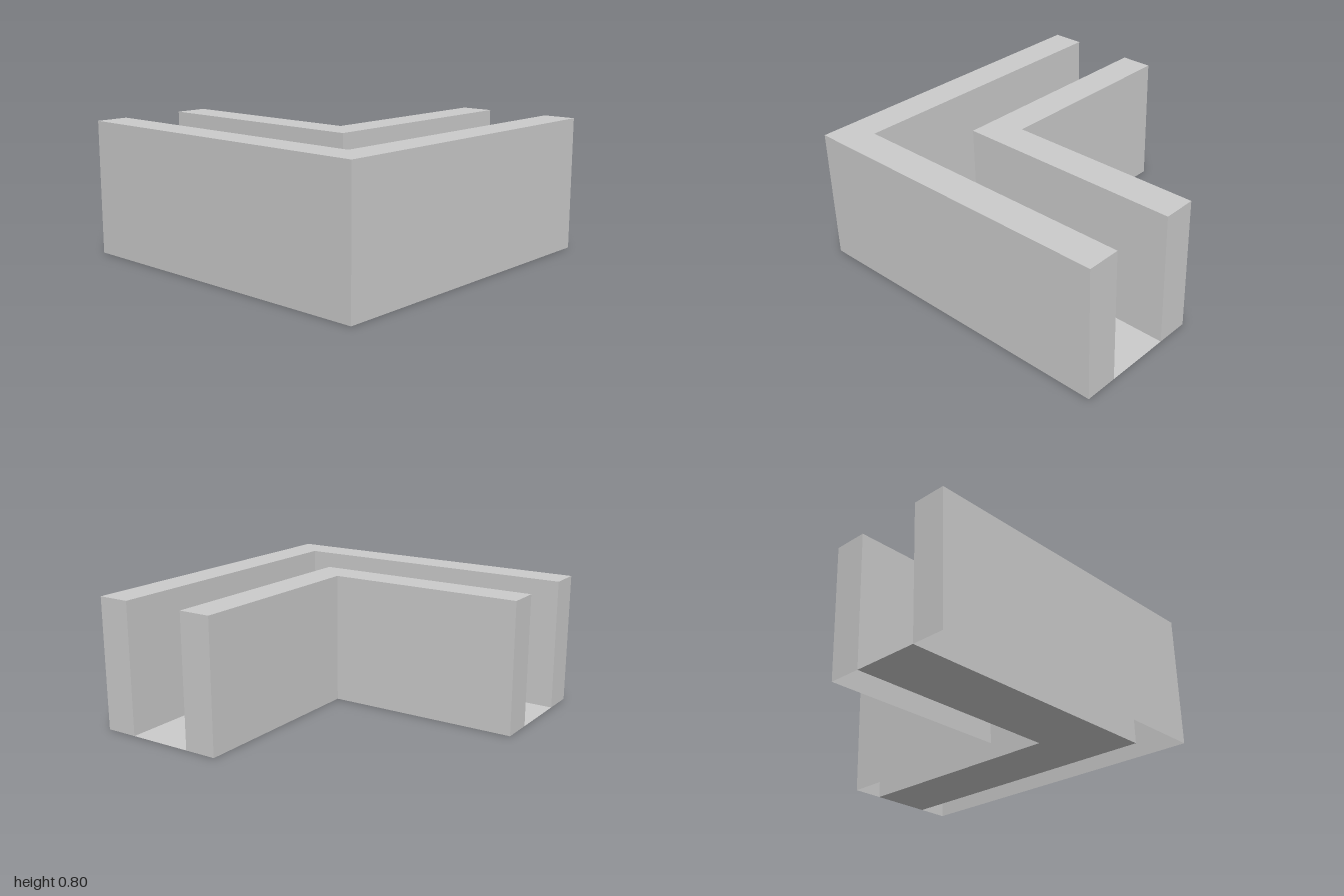
import * as THREE from 'three';

const HEIGHT = 0.8;
const material = new THREE.MeshStandardMaterial({ color: 0xcccccc, flatShading: true, side: THREE.DoubleSide });

// L-shaped plan between two corner offsets; shape y is -z
function cornerShape(outer, inner) {
  return new THREE.Shape([
    [-outer, -outer], [1, -outer], [1, -inner], [-inner, -inner], [-inner, 1], [-outer, 1],
  ].map(([x, y]) => new THREE.Vector2(x, y)));
}

// Hollow wall: sides and top, open underneath
function wallGeometry(outer, inner) {
  const solid = new THREE.ExtrudeGeometry(cornerShape(outer, inner), { depth: HEIGHT, bevelEnabled: false });
  const p = solid.attributes.position;
  const kept = [];
  for (let i = 0; i < p.count; i += 3) {
    if (p.getZ(i) + p.getZ(i + 1) + p.getZ(i + 2) < 1e-6) continue; // skip the bottom cap
    for (let k = i; k < i + 3; k++) kept.push(p.getX(k), p.getY(k), p.getZ(k));
  }
  const geometry = new THREE.BufferGeometry();
  geometry.setAttribute('position', new THREE.Float32BufferAttribute(kept, 3));
  geometry.computeVertexNormals();
  return geometry;
}

export function createModel() {
  const group = new THREE.Group();
  group.name = 'cornerChannel';

  const add = (name, geometry) => {
    geometry.rotateX(-Math.PI / 2);
    const mesh = new THREE.Mesh(geometry, material);
    mesh.name = name;
    group.add(mesh);
  };

  add('outerWall', wallGeometry(1, 0.8));
  add('innerWall', wallGeometry(0.4, 0.2));
  // Thin floor sheet between the walls
  add('channelFloor', new THREE.ShapeGeometry(cornerShape(0.8, 0.4)));

  return group;
}
